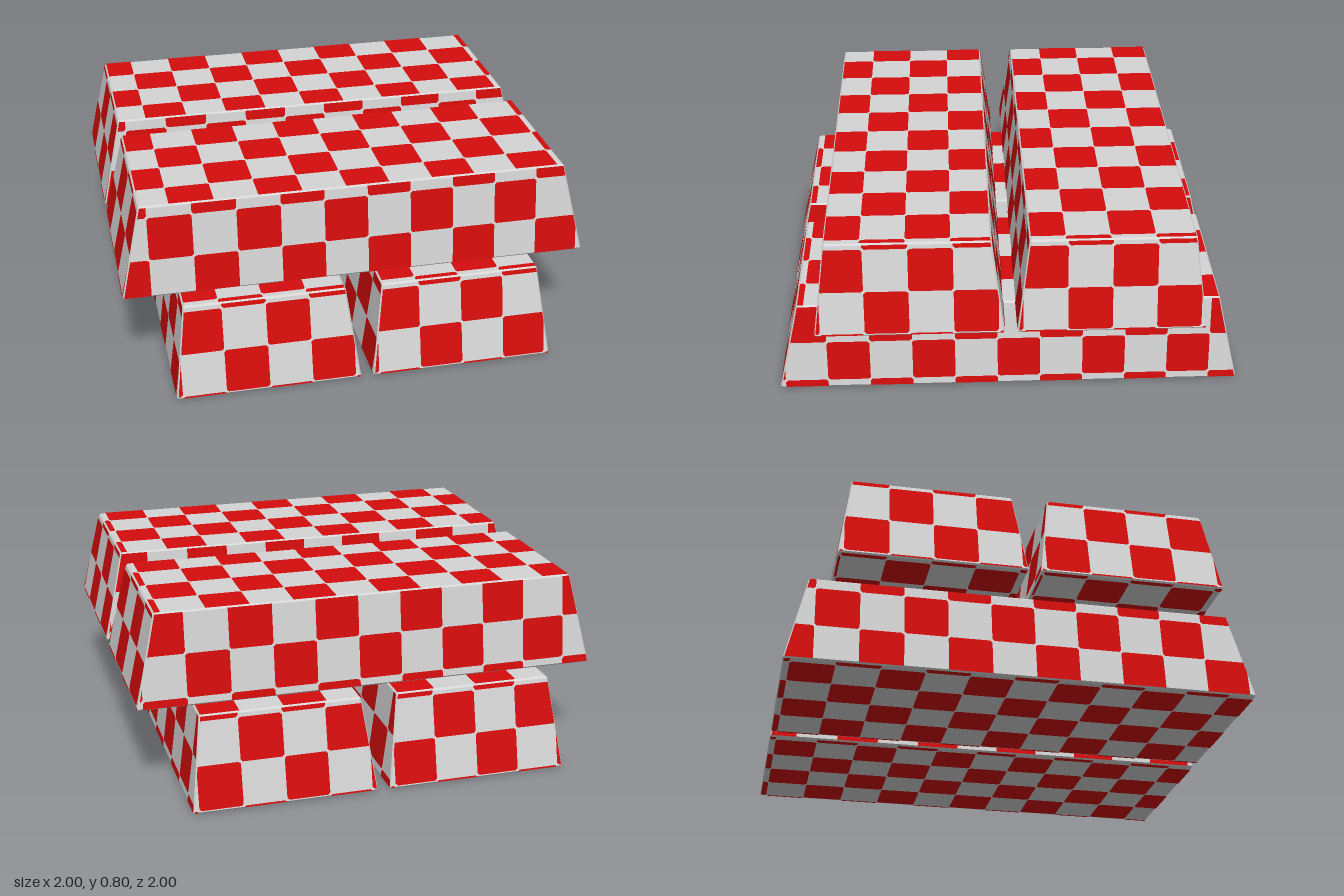
import * as THREE from 'three';
import { ConvexGeometry } from 'three/addons/geometries/ConvexGeometry.js';

const H = 0.396;                    // bar height
const BASE = [1.0, 0.395];          // half length and half width at the base
const TOP = [0.91, 0.343];          // half length and half width at the top
const CELL = 0.185;                 // checker pitch
const BEVEL = 0.007;

const V = (x, y, z) => new THREE.Vector3(x, y, z);
const corner = (sx, top, sz) => {
  const [hx, hz] = top ? TOP : BASE;
  return V(sx * hx, top ? H : 0, sz * hz);
};

// Tapered bar with small bevels: each corner becomes three points
function barGeometry() {
  const pts = [];
  for (const sx of [-1, 1]) for (const sz of [-1, 1]) for (const top of [0, 1]) {
    const c = corner(sx, top, sz);
    const others = [corner(-sx, top, sz), corner(sx, 1 - top, sz), corner(sx, top, -sz)];
    const d = others.map((o) => o.sub(c).normalize().multiplyScalar(BEVEL));
    for (let i = 0; i < 3; i++) pts.push(c.clone().add(d[i]).add(d[(i + 1) % 3]));
  }
  return new ConvexGeometry(pts);
}

// Clip a convex polygon to the left side of the line a-b, kept a small margin inside
function clip(poly, a, b) {
  const n = new THREE.Vector2(a.y - b.y, b.x - a.x).normalize();
  const dist = (p) => (p.x - a.x) * n.x + (p.y - a.y) * n.y - BEVEL * 0.7;
  const out = [];
  poly.forEach((p, i) => {
    const q = poly[(i + 1) % poly.length];
    const dp = dist(p), dq = dist(q);
    if (dp >= 0) out.push(p);
    if ((dp >= 0) !== (dq >= 0)) out.push(p.clone().lerp(q, dp / (dp - dq)));
  });
  return out;
}

// One checker square with cut corners
function cellPolygon(u, v) {
  const s = CELL, c = 0.009;
  return [[c, 0], [s - c, 0], [s, c], [s, s - c], [s - c, s], [c, s], [0, s - c], [0, c]]
    .map(([a, b]) => new THREE.Vector2(u + a, v + b));
}

// Squares on one face; corners run counter-clockwise, the first edge gives the u axis
function addSquares(out, corners, [u0, v0]) {
  const uAxis = corners[1].clone().sub(corners[0]).normalize();
  const n = uAxis.clone().cross(corners[3].clone().sub(corners[0])).normalize();
  const vAxis = n.clone().cross(uAxis);
  const mid = corners.reduce((s, c) => s.add(c), V(0, 0, 0)).multiplyScalar(0.25);
  const flat = corners.map((c) => {
    const d = c.clone().sub(mid);
    return new THREE.Vector2(d.dot(uAxis), d.dot(vAxis));
  });
  const lift = (p) => mid.clone().addScaledVector(uAxis, p.x)
    .addScaledVector(vAxis, p.y).addScaledVector(n, 0.0015);
  for (let i = -13; i <= 13; i++) for (let j = -13; j <= 13; j++) {
    if ((i + j) % 2 !== 0) continue;
    let poly = cellPolygon(u0 + i * CELL, v0 + j * CELL);
    for (let k = 0; k < 4 && poly.length; k++) poly = clip(poly, flat[k], flat[(k + 1) % 4]);
    for (let k = 1; k + 1 < poly.length; k++) {
      for (const p of [poly[0], poly[k], poly[k + 1]]) out.push(...lift(p).toArray());
    }
  }
}

function squaresGeometry() {
  const c = corner, out = [];
  // front, back, left end, right end, top, underside
  addSquares(out, [c(-1, 0, 1), c(1, 0, 1), c(1, 1, 1), c(-1, 1, 1)], [-0.88, -0.035]);
  addSquares(out, [c(1, 0, -1), c(-1, 0, -1), c(-1, 1, -1), c(1, 1, -1)], [0.69, -0.163]);
  addSquares(out, [c(1, 0, 1), c(1, 0, -1), c(1, 1, -1), c(1, 1, 1)], [0, -0.006]);
  addSquares(out, [c(-1, 0, -1), c(-1, 0, 1), c(-1, 1, 1), c(-1, 1, -1)], [-CELL, -0.006]);
  addSquares(out, [c(-1, 1, 1), c(1, 1, 1), c(1, 1, -1), c(-1, 1, -1)], [-0.97, -0.195]);
  addSquares(out, [c(-1, 0, -1), c(1, 0, -1), c(1, 0, 1), c(-1, 0, 1)], [-0.97, -0.195]);
  const geo = new THREE.BufferGeometry();
  geo.setAttribute('position', new THREE.Float32BufferAttribute(out, 3));
  geo.computeVertexNormals();
  return geo;
}

export function createModel() {
  const grey = new THREE.MeshStandardMaterial({ color: 0xd4d4d4 });
  grey.name = 'light grey';
  const red = new THREE.MeshStandardMaterial({ color: 0xd40c0c });
  red.name = 'red';
  const bodyGeo = barGeometry();
  const squareGeo = squaresGeometry();

  const model = new THREE.Group();
  model.name = 'stackedBars';
  const addBar = (name, x, y, z, turn) => {
    const bar = new THREE.Group();
    bar.name = name;
    const body = new THREE.Mesh(bodyGeo, grey);
    body.name = 'barBody';
    const squares = new THREE.Mesh(squareGeo, red);
    squares.name = 'checkerSquares';
    bar.add(body, squares);
    bar.position.set(x, y, z);
    bar.rotation.y = turn;
    model.add(bar);
  };

  // Lower pair runs front to back, upper pair lies across it
  for (const s of [-1, 1]) {
    addBar(s > 0 ? 'lowerLeftBar' : 'lowerRightBar', s * 0.421, 0.002, 0, -Math.PI / 2);
    addBar(s > 0 ? 'upperFrontBar' : 'upperBackBar', 0, 0.404, s * 0.421, 0);
  }
  return model;
}
